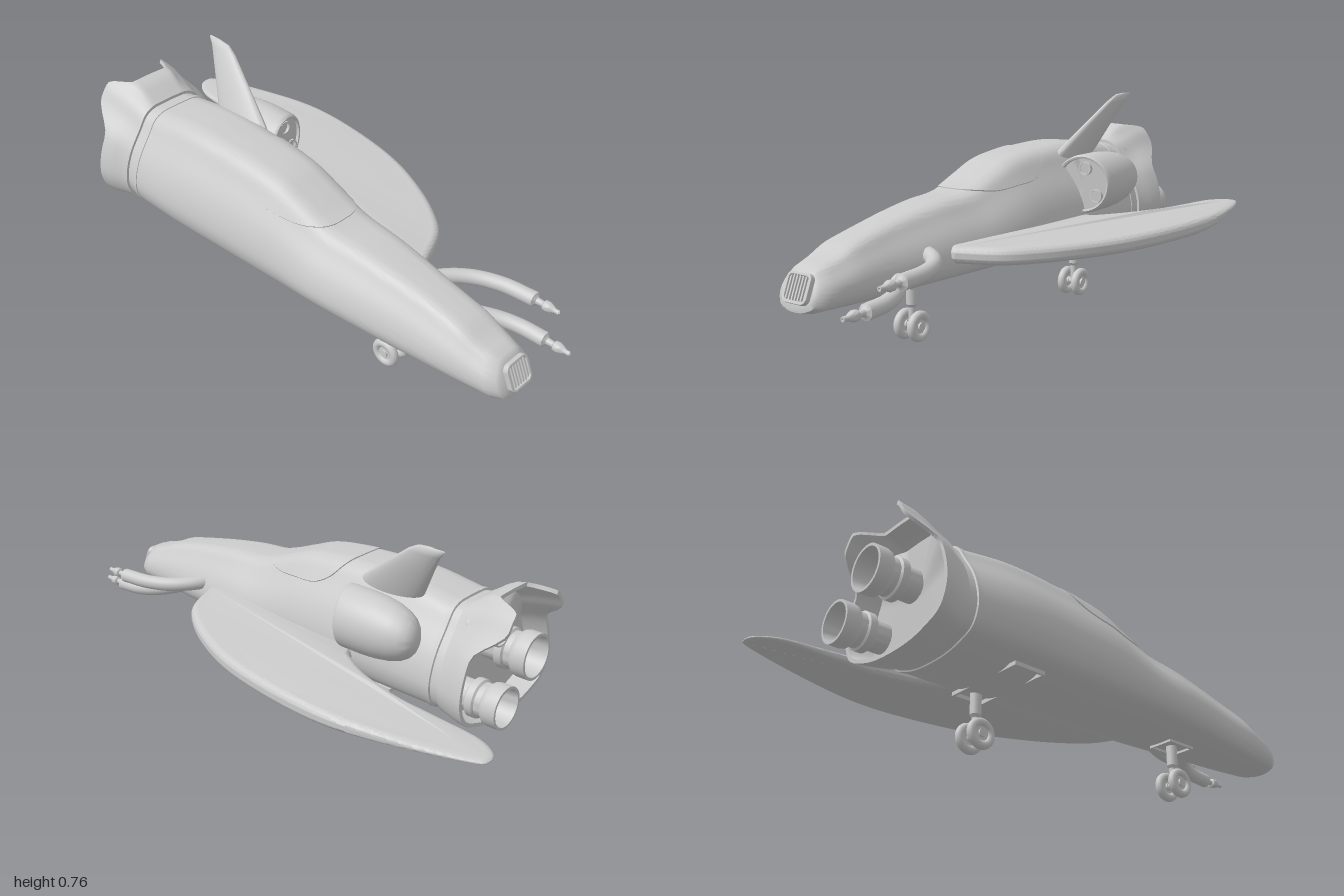
import * as THREE from 'three';
import { toCreasedNormals } from 'three/addons/utils/BufferGeometryUtils.js';

const CX = -0.18; // centre line of the hull
const mat = new THREE.MeshStandardMaterial({ color: 0xcccccc, side: THREE.DoubleSide });
const V = (x, y, z) => new THREE.Vector3(x, y, z);
const smooth = THREE.MathUtils.smoothstep;

function part(name, geo, parent, x = 0, y = 0, z = 0) {
  const m = new THREE.Mesh(geo, mat);
  m.name = name;
  m.position.set(x, y, z);
  parent.add(m);
  return m;
}

// Skin over rows of closed rings
function loft(rows, crease = 0.6) {
  const n = rows[0].length, pos = [], idx = [];
  rows.forEach(r => r.forEach(p => pos.push(p.x, p.y, p.z)));
  for (let i = 0; i < rows.length - 1; i++)
    for (let j = 0; j < n; j++) {
      const k = (j + 1) % n, a = i * n + j, b = i * n + k, c = a + n, d = b + n;
      idx.push(a, c, b, b, c, d);
    }
  const g = new THREE.BufferGeometry();
  g.setAttribute('position', new THREE.Float32BufferAttribute(pos, 3));
  g.setIndex(idx);
  return toCreasedNormals(g, crease);
}

// Turned part, profile [radius, along], pointing to +z (or -z)
function turned(profile, seg = 32, back = false) {
  const g = new THREE.LatheGeometry(profile.map(p => new THREE.Vector2(...p)), seg);
  g.rotateX(back ? -Math.PI / 2 : Math.PI / 2);
  return toCreasedNormals(g, 0.6);
}

// Unit hull section: u across (-1..1), v up (0..1)
const half = [[0.3, 0], [0.62, 0.045], [0.9, 0.13], [1, 0.28], [0.98, 0.43], [0.87, 0.61],
  [0.65, 0.81], [0.5, 0.94], [0.34, 0.99], [0.15, 1]];
const section = new THREE.CatmullRomCurve3(
  [...half, ...half.slice().reverse().map(([u, v]) => [-u, v])].map(([u, v]) => V(u, v, 0)), true);

function hullPoint(s, z, hw, yb, yt) {
  const p = section.getPoint(((s % 1) + 1) % 1), k = smooth(z, 0.6, 0.95);
  const y = yb + p.y * (yt - yb);
  return V(CX + p.x * hw * (1 + 0.4 * k * p.y), y, z - 0.42 * smooth(z, 0.75, 0.95) * (y - 0.21));
}
const N = 80;
const ring = (...a) => Array.from({ length: N }, (_, i) => hullPoint(i / N, ...a));
const dot = (x, y, z) => Array.from({ length: N }, () => V(x, y, z));

// Hull stations: z, half width, bottom, top
const stations = [[0.93, 0.086, 0.203, 0.35], [0.8, 0.11, 0.2, 0.385], [0.6, 0.143, 0.2, 0.43],
  [0.4, 0.17, 0.2, 0.462], [0.24, 0.184, 0.198, 0.478], [0.12, 0.192, 0.196, 0.522],
  [0.03, 0.2, 0.194, 0.556], [-0.1, 0.208, 0.192, 0.576], [-0.2, 0.213, 0.19, 0.583],
  [-0.4, 0.223, 0.19, 0.584], [-0.6, 0.22, 0.19, 0.558]];
const lerpHull = new THREE.CubicInterpolant(stations.map(s => -s[0]), stations.flatMap(s => s.slice(1)), 3);
const hullAt = z => Array.from(lerpHull.evaluate(-z));

function buildHull(g) {
  const rows = [dot(CX, 0.278, 0.946), ring(0.975, 0.058, 0.228, 0.328), ring(0.967, 0.071, 0.212, 0.341)];
  for (let i = 0; i <= 50; i++) {
    const z = 0.93 - 1.53 * i / 50;
    rows.push(ring(z, ...hullAt(z)));
  }
  part('hull', loft(rows, 0.9), g);

  // Canopy panel lying on the hull
  const pane = [];
  for (let i = 0; i <= 13; i++) {
    const r = Math.min(i / 12, 1), lift = i > 12 ? -0.004 : 0.004, row = [];
    for (let j = 0; j < 64; j++) {
      const a = j / 64 * Math.PI * 2, c = Math.cos(a), sn = Math.sin(a);
      const e = t => Math.sign(t) * Math.abs(t) ** 0.75;
      const z = 0.035 - 0.205 * r * e(sn);
      const s = 0.475 - 0.182 * r * e(c) * (1 + 0.12 * e(sn));
      const [hw, yb, yt] = hullAt(z);
      row.push(hullPoint(s, z, hw + lift, yb, yt + lift));
    }
    pane.push(row);
  }
  part('canopy', loft(pane, 0.7), g);

  // Collar behind the hull
  part('collar', loft([ring(-0.59, 0.21, 0.2, 0.548), ring(-0.595, 0.223, 0.188, 0.562),
    ring(-0.61, 0.223, 0.188, 0.562), ring(-0.612, 0.217, 0.192, 0.555), ring(-0.65, 0.217, 0.192, 0.555)]), g);

  // Flared shroud with two lobes on its rear rim
  const shroudRow = (t, hw, yb, yt) => ring(0, hw, yb, yt).map((p, i) => {
    const q = section.getPoint(i / N);
    const lobe = smooth(q.y, 0.62, 0.85) * smooth(Math.abs(q.x), 0.28, 0.48);
    return p.setZ(-0.645 - t * (0.11 + 0.09 * lobe));
  });
  part('engineShroud', loft([shroudRow(0, 0.212, 0.195, 0.55), shroudRow(0, 0.226, 0.186, 0.566),
    shroudRow(0.2, 0.232, 0.182, 0.58), shroudRow(0.45, 0.243, 0.179, 0.6), shroudRow(0.7, 0.254, 0.177, 0.614),
    shroudRow(1, 0.261, 0.176, 0.62), shroudRow(1, 0.248, 0.188, 0.607), shroudRow(0.6, 0.234, 0.193, 0.594),
    shroudRow(0.3, 0.222, 0.198, 0.578), dot(CX, 0.36, -0.68)]), g);
}

function buildGrille(g) {
  const grille = new THREE.Group();
  grille.name = 'noseGrille';
  grille.position.set(CX + 0.005, 0.28, 0.948);
  grille.rotation.x = -0.4;
  const rounded = (P, w, h, r) => {
    const p = new P();
    p.moveTo(w - r, -h).absarc(w - r, -h + r, r, -Math.PI / 2, 0).absarc(w - r, h - r, r, 0, Math.PI / 2)
      .absarc(-w + r, h - r, r, Math.PI / 2, Math.PI).absarc(-w + r, -h + r, r, Math.PI, Math.PI * 1.5);
    return p;
  };
  const shape = rounded(THREE.Shape, 0.049, 0.046, 0.02);
  shape.holes.push(rounded(THREE.Path, 0.043, 0.04, 0.014));
  part('grilleFrame', new THREE.ExtrudeGeometry(shape, { depth: 0.012, bevelSize: 0.002, bevelThickness: 0.003, bevelSegments: 2 }), grille);
  for (let i = -3; i <= 3; i++)
    part('grilleBar', new THREE.BoxGeometry(0.006, 0.078, 0.014), grille, i * 0.0125, 0, 0.003);
  g.add(grille);
}

function buildWing(g) {
  const pts = [[0.14, 0.385], [0.225, 0.29], [0.3, 0.16], [0.365, 0], [0.405, -0.18], [0.427, -0.4],
    [0.418, -0.58], [0.37, -0.8], [0.315, -0.965], [0.285, -0.998], [0.235, -0.98], [0.195, -0.9],
    [0.182, -0.74], [0.17, -0.58], [0.127, -0.42], [0.06, -0.3]];
  const s = new THREE.Shape();
  s.moveTo(-0.08, 0.42).lineTo(0, 0.45);
  s.splineThru(pts.map(([x, z]) => new THREE.Vector2(x, z)));
  s.lineTo(-0.08, -0.22);
  const geo = new THREE.ExtrudeGeometry(s, { depth: 0.004, curveSegments: 60, bevelThickness: 0.027,
    bevelSize: 0.026, bevelOffset: -0.026, bevelSegments: 8 });
  geo.translate(0, 0, -0.002).rotateX(Math.PI / 2);
  // Thin the wing towards its swept tip
  const p = geo.attributes.position;
  for (let i = 0; i < p.count; i++) p.setY(i, p.getY(i) * (1 - 0.75 * smooth(-p.getZ(i), 0.35, 1.05)));
  part('wing', toCreasedNormals(geo, 0.7), g, 0, 0.307, 0);
}

function buildFin(g) {
  // Lens sections: x, y, front z, rear z, half thickness
  const rows = [[-0.09, 0.51, -0.19, -0.46, 0.03], [-0.068, 0.565, -0.25, -0.5, 0.027],
    [-0.03, 0.66, -0.375, -0.555, 0.019], [0, 0.735, -0.475, -0.6, 0.012], [0.008, 0.757, -0.515, -0.62, 0.008],
    [0.009, 0.763, -0.57, -0.615, 0.001]].map(([x, y, a, b, t]) =>
    Array.from({ length: 32 }, (_, i) => {
      const w = i / 32 * Math.PI * 2, c = Math.cos(w);
      return V(x + t * c, y - t * 0.4 * c, (a + b) / 2 + (a - b) / 2 * Math.sin(w));
    }));
  part('fin', loft(rows, 1), g);
}

function buildPod(g) {
  const pod = new THREE.Group();
  pod.name = 'sidePod';
  const geo = turned([[0, -0.305], [0.025, -0.302], [0.045, -0.293], [0.062, -0.277], [0.077, -0.25], [0.089, -0.21],
    [0.097, -0.155], [0.1, -0.1], [0.1, -0.015], [0.098, -0.005], [0.094, 0], [0.088, -0.002], [0.087, -0.014], [0, -0.014]], 48);
  geo.scale(1, 1.08, 1);
  const p = geo.attributes.position;
  for (let i = 0; i < p.count; i++) p.setZ(i, p.getZ(i) - 0.28 * p.getX(i));
  part('podBody', toCreasedNormals(geo, 0.6), pod);
  for (const [x, y] of [[0.005, 0.057], [0.045, -0.043]])
    part('podPort', turned([[0.026, -0.02], [0.026, 0.004], [0.02, 0.004], [0.019, -0.008], [0, -0.008]], 24), pod, x, y, -0.012 - 0.28 * x);
  pod.position.set(0.03, 0.45, -0.25);
  g.add(pod);
}

function buildGuns(g) {
  const guns = [
    [V(-0.09, 0.322, 0.5), V(-0.01, 0.318, 0.545), V(0.05, 0.314, 0.61), V(0.088, 0.312, 0.7), V(0.102, 0.311, 0.81)],
    [V(-0.12, 0.275, 0.63), V(-0.04, 0.26, 0.675), V(0.01, 0.246, 0.74), V(0.036, 0.238, 0.81), V(0.045, 0.234, 0.9)]];
  guns.forEach((pts, i) => {
    const gun = new THREE.Group();
    gun.name = i ? 'lowerGun' : 'upperGun';
    part('gunArm', new THREE.TubeGeometry(new THREE.CatmullRomCurve3(pts), 40, 0.026, 20), gun);
    const e = pts[4];
    part('muzzle', turned([[0.026, -0.005], [0.026, 0.004], [0.018, 0.007], [0.012, 0.012], [0.01, 0.035], [0.017, 0.04],
      [0.018, 0.055], [0.013, 0.068], [0.008, 0.08], [0.008, 0.096], [0.004, 0.096], [0.003, 0.085], [0, 0.085]], 20), gun, e.x, e.y, e.z);
    g.add(gun);
  });
}

function buildNozzles(g) {
  for (const [x, y, z, r, l] of [[-0.022, 0.3, -0.685, 0.072, 1], [-0.175, 0.42, -0.685, 0.078, 1], [-0.07, 0.515, -0.68, 0.043, 0.65]]) {
    const prof = [[0.7, 0], [0.7, 0.05], [0.9, 0.06], [0.9, 0.085], [0.8, 0.09], [0.8, 0.11], [0.96, 0.122],
      [1, 0.135], [1, 0.175], [0.88, 0.175], [0.74, 0.08], [0, 0.06]];
    part('engineNozzle', turned(prof.map(([a, b]) => [a * r, b * l]), 40, true), g, x, y, z);
  }
}

// Leg with two wheels
function buildGear(g, name, x, z) {
  const gear = new THREE.Group();
  gear.name = name;
  part('legUpper', new THREE.CylinderGeometry(0.019, 0.019, 0.08, 20), gear, 0, 0.165, 0);
  part('legCollar', new THREE.CylinderGeometry(0.019, 0.012, 0.01, 20), gear, 0, 0.12, 0);
  part('legLower', new THREE.CylinderGeometry(0.012, 0.012, 0.075, 20), gear, 0, 0.085, 0);
  part('axle', new THREE.CylinderGeometry(0.011, 0.011, 0.07, 16).rotateZ(Math.PI / 2), gear, 0, 0.053, 0);
  for (const s of [-1, 1]) {
    const tyre = new THREE.TorusGeometry(0.038, 0.015, 14, 36).rotateY(Math.PI / 2);
    part('tyre', tyre, gear, s * 0.03, 0.053, 0);
    part('wheelHub', new THREE.CylinderGeometry(0.028, 0.028, 0.012, 24).rotateZ(Math.PI / 2), gear, s * 0.03, 0.053, 0);
    part('hubCap', new THREE.CylinderGeometry(0.014, 0.014, 0.026, 20).rotateZ(Math.PI / 2), gear, s * 0.03, 0.053, 0);
  }
  gear.position.set(x, 0, z);
  g.add(gear);
}

// Frame of a wheel bay under the hull
function buildBay(g, x, z) {
  const bay = new THREE.Group();
  bay.name = 'wheelBay';
  for (const s of [-1, 1]) {
    part('baySide', new THREE.BoxGeometry(0.008, 0.014, 0.12), bay, s * 0.045, 0, 0);
    part('bayEnd', new THREE.BoxGeometry(0.09, 0.014, 0.008), bay, 0, 0, s * 0.056);
  }
  bay.position.set(x, 0.197, z);
  g.add(bay);
}

export function createModel() {
  const g = new THREE.Group();
  g.name = 'spacecraft';
  for (const build of [buildHull, buildGrille, buildWing, buildFin, buildPod, buildGuns, buildNozzles]) build(g);
  buildGear(g, 'noseGear', -0.175, 0.46);
  buildGear(g, 'mainGear', -0.068, -0.35);
  for (const [x, z] of [[-0.175, 0.46], [-0.068, -0.35], [-0.285, -0.35]]) buildBay(g, x, z);
  return g;
}
